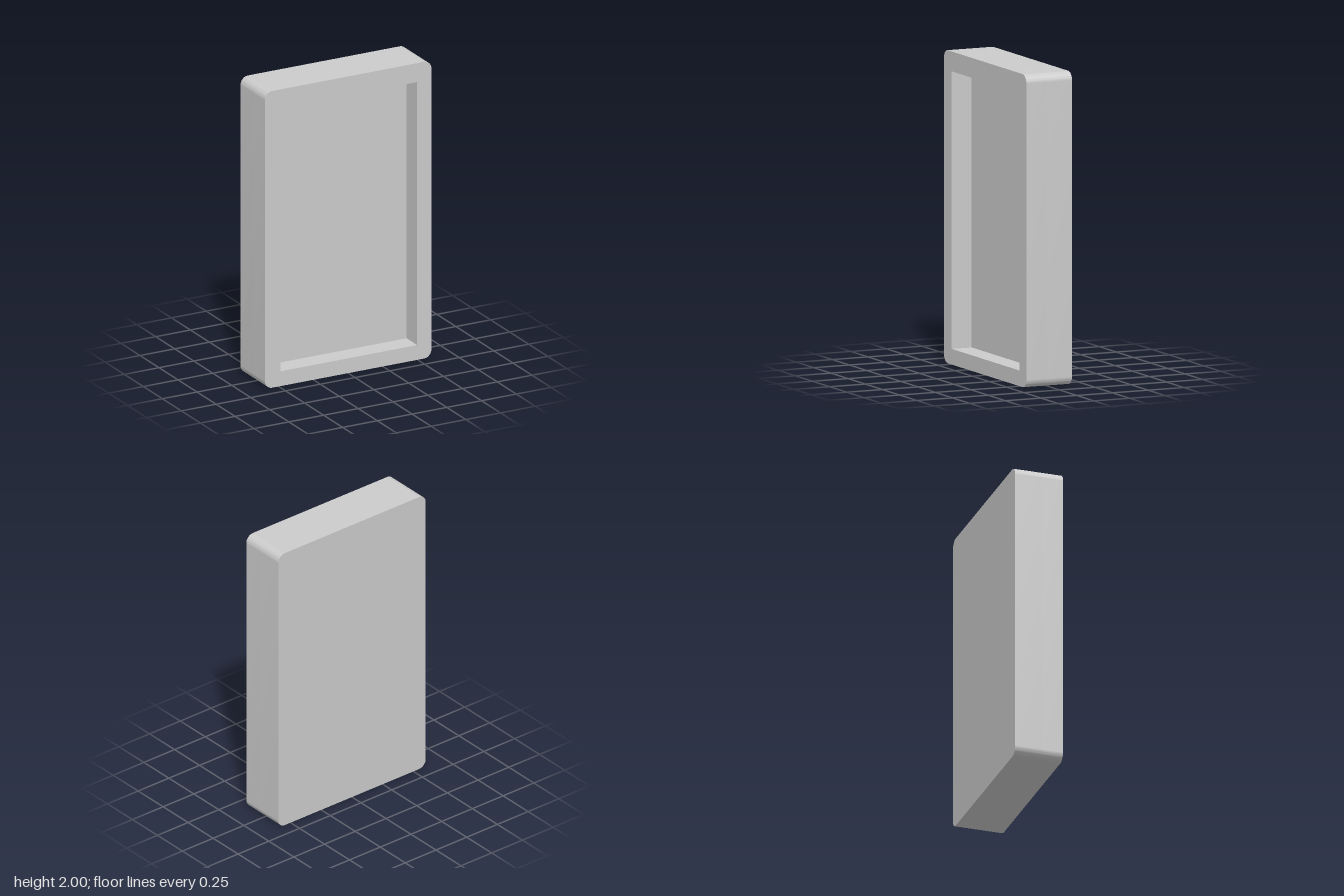
import * as THREE from 'three';
import { toCreasedNormals } from 'three/addons/utils/BufferGeometryUtils.js';

const W = 1.2, H = 2, BACK = -0.16, FLOOR = 0.02, FRONT = 0.16, R = 0.055;

// Outline with rounded corners, standing on y = 0
function outline() {
  const s = new THREE.Shape();
  const x = W / 2 - R;
  s.absarc(x, R, R, -Math.PI / 2, 0);
  s.absarc(x, H - R, R, 0, Math.PI / 2);
  s.absarc(-x, H - R, R, Math.PI / 2, Math.PI);
  s.absarc(-x, R, R, Math.PI, Math.PI * 1.5);
  s.closePath();
  return s;
}

function slab(name, shape, z0, z1) {
  const geo = new THREE.ExtrudeGeometry(shape, { depth: z1 - z0, bevelEnabled: false, curveSegments: 10 });
  geo.translate(0, 0, z0);
  const mesh = new THREE.Mesh(
    toCreasedNormals(geo, Math.PI / 6),
    new THREE.MeshStandardMaterial({ color: 0xcccccc })
  );
  mesh.name = name;
  return mesh;
}

export function createModel() {
  const group = new THREE.Group();
  group.name = 'recessedTray';

  // Solid back, whose front is the floor of the recess
  group.add(slab('backPanel', outline(), BACK, FLOOR));

  // Front rim around a sharp-cornered, slightly off-centre opening
  const rim = outline();
  const [l, r, b, t] = [-0.487, 0.497, 0.1, 1.873];
  rim.holes.push(new THREE.Path([
    new THREE.Vector2(l, b), new THREE.Vector2(l, t),
    new THREE.Vector2(r, t), new THREE.Vector2(r, b),
  ]));
  group.add(slab('frontFrame', rim, FLOOR, FRONT));

  return group;
}
